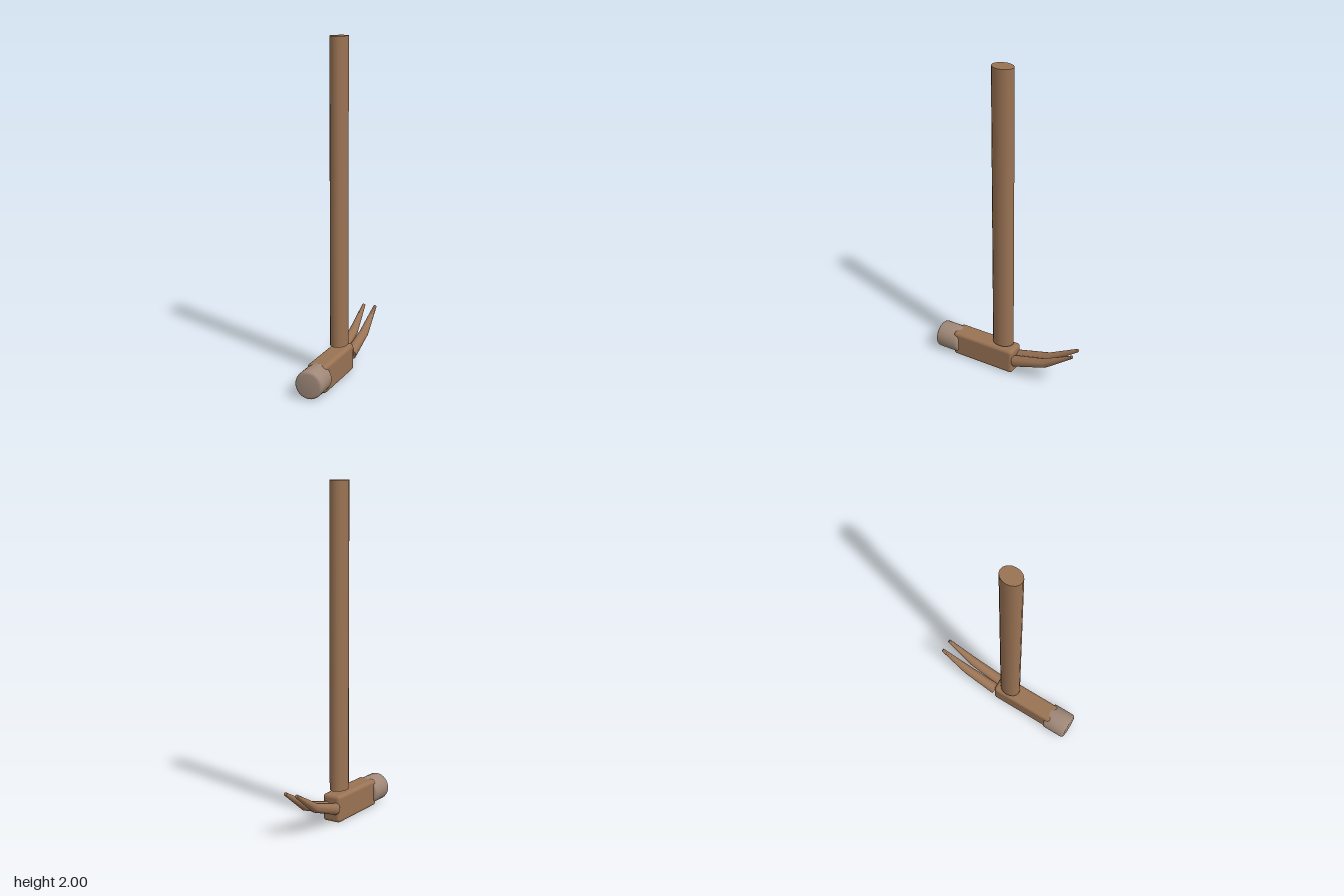
import * as THREE from 'three';
import { toCreasedNormals } from 'three/addons/utils/BufferGeometryUtils.js';
import { RoundedBoxGeometry } from 'three/addons/geometries/RoundedBoxGeometry.js';

const wood = new THREE.MeshStandardMaterial({ color: 0x9a7354 });
wood.name = 'brown';
const steel = new THREE.MeshStandardMaterial({ color: 0xa08878 });
steel.name = 'pale brown';

function part(name, geometry, material, x, y, z) {
  const mesh = new THREE.Mesh(geometry, material);
  mesh.name = name;
  mesh.position.set(x, y, z);
  return mesh;
}

// Bent, tapering prong: the three rings of a cylinder are moved onto the bend
function clawGeometry(side) {
  const rings = [ // centre x, y, z, radius, tilt of the ring
    [0.033, 0.092, -0.071, 0.035, 0.30],
    [0.035, 0.159, -0.285, 0.028, 0.46],
    [0.038, 0.277, -0.469, 0.010, 0.58],
  ];
  const geometry = new THREE.CylinderGeometry(1, 1, 2, 20, 2);
  const p = geometry.attributes.position;
  for (let i = 0; i < p.count; i++) {
    const [x, y, z, r, tilt] = rings[Math.round(p.getY(i) + 1)];
    const u = p.getX(i) * r, v = p.getZ(i) * r;
    p.setXYZ(i, side * x + u, y + v * Math.cos(tilt), z + v * Math.sin(tilt));
  }
  return toCreasedNormals(geometry, 0.7);
}

export function createModel() {
  const hammer = new THREE.Group();
  hammer.name = 'hammer';

  // Oval handle, standing just clear of the head
  const handle = new THREE.CylinderGeometry(1, 1, 1.815, 16);
  handle.scale(0.052, 1, 0.067);
  hammer.add(part('handle', handle, wood, 0, 1.0925, 0.026));

  // Head block with rounded edges
  hammer.add(part('head', new RoundedBoxGeometry(0.12, 0.166, 0.426, 4, 0.022), wood, 0, 0.086, 0.147));

  // Striking face: short drum with rounded rims
  const R = 0.083, L = 0.0775, b = 0.016;
  const profile = [new THREE.Vector2(0, -L)];
  for (const end of [-1, 1]) {
    for (let i = 0; i <= 4; i++) {
      const a = end * (end < 0 ? 4 - i : i) * Math.PI / 8;
      profile.push(new THREE.Vector2(R - b + b * Math.cos(a), end * (L - b) + b * Math.sin(a)));
    }
  }
  profile.push(new THREE.Vector2(0, L));
  const drum = new THREE.LatheGeometry(profile, 32);
  drum.rotateX(Math.PI / 2);
  hammer.add(part('strikingFace', toCreasedNormals(drum, 0.5), steel, 0, 0.089, 0.3985));

  // Pair of claws at the back
  for (const [name, side] of [['leftClaw', 1], ['rightClaw', -1]]) {
    hammer.add(part(name, clawGeometry(side), wood, 0, 0, 0));
  }
  return hammer;
}
